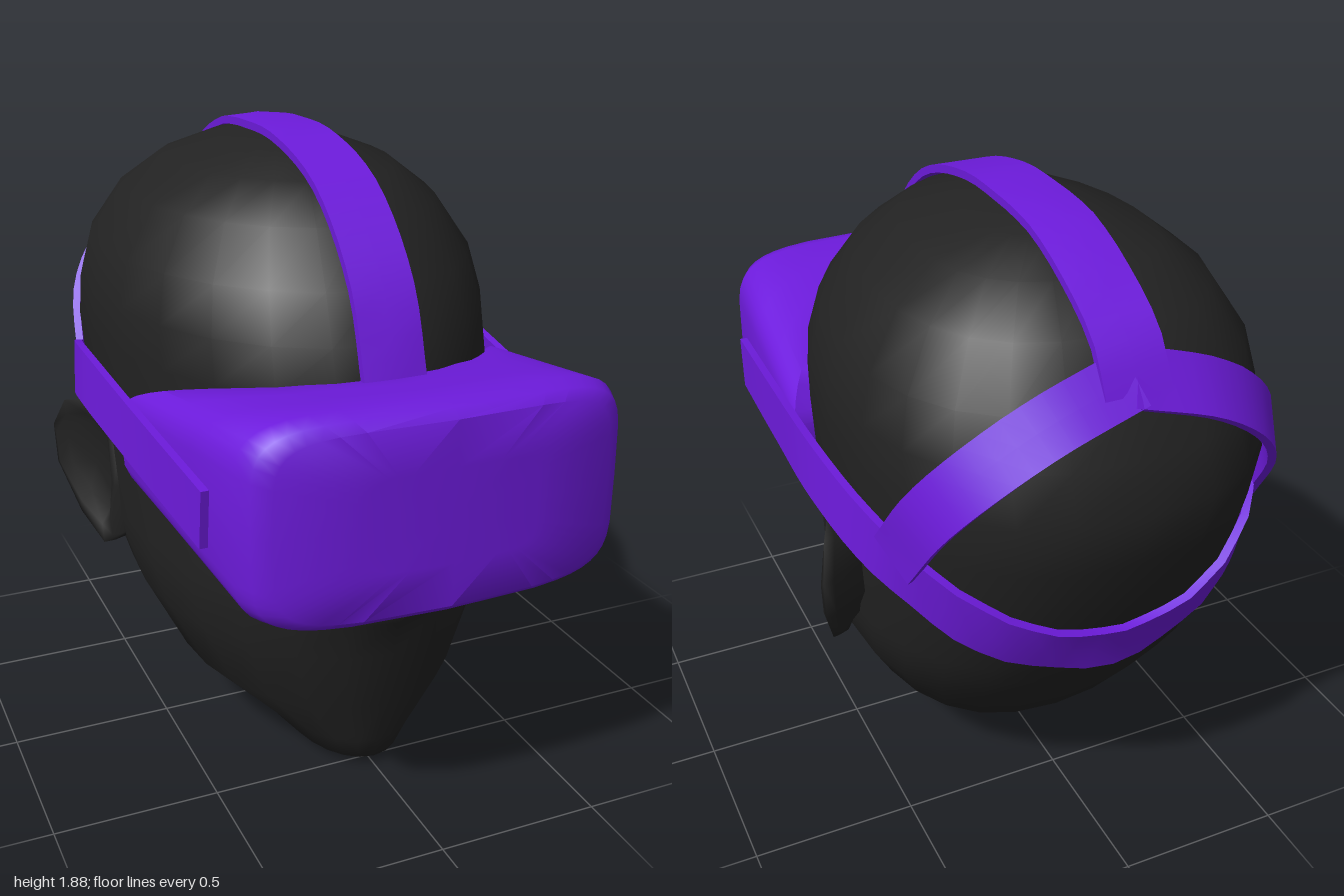
import * as THREE from 'three';
import { toCreasedNormals } from 'three/addons/utils/BufferGeometryUtils.js';

const V = (x, y, z) => new THREE.Vector3(x, y, z);
const skinMat = new THREE.MeshStandardMaterial({ color: 0x222222 });
const gearMat = new THREE.MeshStandardMaterial({ color: 0x6d1bdc });

// Skin over closed rings of points (counter-clockwise about the direction of travel), capped at both ends.
function loft(rings) {
  const n = rings[0].length, pts = rings.flat(), index = [];
  for (let i = 0; i < rings.length - 1; i++) {
    for (let j = 0; j < n; j++) {
      const a = i * n + j, b = i * n + (j + 1) % n;
      index.push(a, b, b + n, a, b + n, a + n);
    }
  }
  const last = (rings.length - 1) * n;
  const mean = (ring) => ring.reduce((s, p) => s.add(p), V(0, 0, 0)).divideScalar(n);
  const c0 = pts.push(mean(rings[0])) - 1, c1 = pts.push(mean(rings.at(-1))) - 1;
  for (let j = 0; j < n; j++) {
    const k = (j + 1) % n;
    index.push(c0, k, j, c1, last + j, last + k);
  }
  const g = new THREE.BufferGeometry().setFromPoints(pts);
  g.setIndex(index);
  g.computeVertexNormals();
  return g;
}

// Copy reflected in x, with the face order turned round.
function mirrored(geo) {
  const g = geo.clone().scale(-1, 1, 1);
  const ix = g.index.array;
  for (let i = 0; i < ix.length; i += 3) [ix[i], ix[i + 1]] = [ix[i + 1], ix[i]];
  g.computeVertexNormals();
  return g;
}

const power = (v, e) => Math.sign(v) * Math.abs(v) ** e;

// Head: horizontal sections [y, front z, back z, half width, z of widest point, nose]
function headGeometry() {
  const sections = [
    [0.0, 0.42, 0.15, 0.09, 0.28, 0], [0.03, 0.55, -0.02, 0.17, 0.27, 0],
    [0.1, 0.57, -0.18, 0.24, 0.2, 0], [0.25, 0.61, -0.51, 0.43, 0.03, 0],
    [0.45, 0.66, -0.67, 0.53, -0.08, 0], [0.57, 0.69, -0.75, 0.56, -0.15, 0],
    [0.65, 0.71, -0.79, 0.57, -0.18, 0.07], [0.85, 0.69, -0.89, 0.585, -0.22, 0.04],
    [1.08, 0.65, -0.96, 0.6, -0.25, 0], [1.25, 0.63, -1.0, 0.61, -0.25, 0],
    [1.38, 0.59, -0.94, 0.605, -0.25, 0], [1.52, 0.52, -0.89, 0.57, -0.25, 0],
    [1.67, 0.39, -0.78, 0.47, -0.25, 0], [1.77, 0.25, -0.64, 0.34, -0.25, 0],
    [1.83, 0.04, -0.5, 0.18, -0.25, 0], [1.855, -0.1, -0.37, 0.07, -0.25, 0],
  ];
  const n = 24;
  return loft(sections.map(([y, zf, zb, hw, zc, nose]) =>
    Array.from({ length: n }, (_, j) => {
      const a = (j / n) * Math.PI * 2, c = Math.cos(a);
      const e = c < -0.01 ? 2 / 2.4 : 1;
      const z = zc + power(c, e) * (c > 0 ? zf - zc : zc - zb) + (j === 0 ? nose : 0);
      return V(hw * power(Math.sin(a), e), y, z);
    })));
}

// Ear: outline in (z, y), flaring outwards to the back, with a hollow inside the rim
function earGeometry() {
  const outline = [[-0.29, 1.02], [-0.19, 0.95], [-0.18, 0.75], [-0.2, 0.57],
    [-0.24, 0.53], [-0.34, 0.61], [-0.44, 0.76], [-0.45, 0.89], [-0.39, 0.99]];
  const ring = (scale, dx, dz) => outline.map(([z, y]) => {
    const flare = 0.595 + (-0.19 - z) * 0.46;
    return V(dx < -0.05 ? 0.52 : flare + dx, 0.79 + (y - 0.79) * scale, -0.32 + (z + 0.32) * scale + dz);
  });
  return loft([ring(0.8, -0.1, 0.08), ring(0.98, -0.035, 0.01), ring(1, 0, 0), ring(0.78, 0, 0), ring(0.6, -0.035, 0)]);
}

// Visor: rounded box whose back edge curves round the face
function visorGeometry() {
  const n = 40, rings = [];
  const ring = (zAt, s) => Array.from({ length: n }, (_, j) => {
    const a = (j / n) * Math.PI * 2;
    const u = power(Math.cos(a), 0.36), v = power(Math.sin(a), 0.36);
    const z = zAt(u * s);
    const top = Math.min(1.34, 1.19 + 0.17 * z), bottom = 0.84 - 0.11 * Math.min(z, 0.9);
    return V(u * s * (0.625 - 0.07 * z), (top + bottom) / 2 + v * s * (top - bottom) / 2, z);
  });
  const back = (u) => 0.05 + 0.58 * Math.max(0, 1 - Math.abs(u) ** 2.2) ** 0.8;
  const bowed = (z) => (u) => z - 0.05 * u * u;
  for (const t of [0, 0.33, 0.66, 1]) {
    rings.push(ring((u) => THREE.MathUtils.lerp(back(u), bowed(0.91)(u), t), 1));
  }
  for (const [z, s] of [[0.965, 0.96], [0.992, 0.88], [0.997, 0.45]]) rings.push(ring(bowed(z), s));
  return loft(rings);
}

export function createModel() {
  const model = new THREE.Group();
  const add = (name, geo, mat) => {
    const mesh = new THREE.Mesh(geo, mat);
    mesh.name = name;
    model.add(mesh);
  };

  const headGeo = headGeometry();
  add('head', headGeo, skinMat);
  const ear = earGeometry();
  add('leftEar', ear, skinMat);
  add('rightEar', mirrored(ear), skinMat);
  add('visor', toCreasedNormals(visorGeometry(), 0.8), gearMat);

  // Moves a point out to the skin of the head if it lies below it
  const target = new THREE.Mesh(headGeo, new THREE.MeshBasicMaterial({ side: THREE.DoubleSide }));
  const centre = V(0, 1, -0.2);
  const snap = (p) => {
    const dir = p.clone().sub(centre), d = dir.length();
    const hit = new THREE.Raycaster(centre, dir.normalize()).intersectObject(target)[0];
    return hit && hit.distance + 0.004 > d ? centre.clone().addScaledVector(dir, hit.distance + 0.004) : p;
  };

  // Flat strap along a path, lying on the head
  const strap = (name, path, halfWidth, samples) => {
    const curve = new THREE.CatmullRomCurve3(path.map((p) => V(...p)));
    const rings = [];
    for (let i = 0; i <= samples; i++) {
      const p = curve.getPointAt(i / samples), t = curve.getTangentAt(i / samples);
      const out = V(p.x / 0.36, (p.y - 1) / 0.8, Math.min(p.z + 0.2, 0) / 0.64);
      const w = t.clone().cross(out).normalize();
      const n = w.clone().cross(t).normalize();
      const inner = [-1, 0, 1].map((k) => snap(p.clone().addScaledVector(w, k * halfWidth)));
      const outer = inner.map((q) => q.clone().addScaledVector(n, 0.024));
      rings.push([...outer, ...inner.reverse()]);
    }
    add(name, toCreasedNormals(loft(rings), 0.7), gearMat);
  };

  // Both side arms and the low band round the back, as one loop
  const side = [[0.58, 1.02, 0.725], [0.61, 1.065, 0.25], [0.635, 1.11, -0.22], [0.6, 1.07, -0.48],
    [0.54, 1.01, -0.61], [0.42, 0.92, -0.72], [0.24, 0.81, -0.81]];
  const flip = ([x, y, z]) => [-x, y, z];
  strap('sideAndBackStrap', [...side, [0, 0.75, -0.85], ...side.map(flip).reverse()], 0.085, 56);

  // Strap over the crown
  strap('topStrap', [[0, 1.27, 0.62], [0, 1.53, 0.52], [0, 1.75, 0.29], [0, 1.845, -0.02], [0, 1.85, -0.27],
    [0, 1.805, -0.54], [0, 1.67, -0.8], [0, 1.54, -0.88]], 0.095, 28);

  // Branches from the crown strap down to the side straps
  const branch = [[0, 1.58, -0.86], [0.24, 1.5, -0.87], [0.41, 1.38, -0.83], [0.51, 1.24, -0.75], [0.55, 1.04, -0.61]];
  strap('leftBranchStrap', branch, 0.08, 16);
  strap('rightBranchStrap', branch.map(flip), 0.08, 16);

  return model;
}
